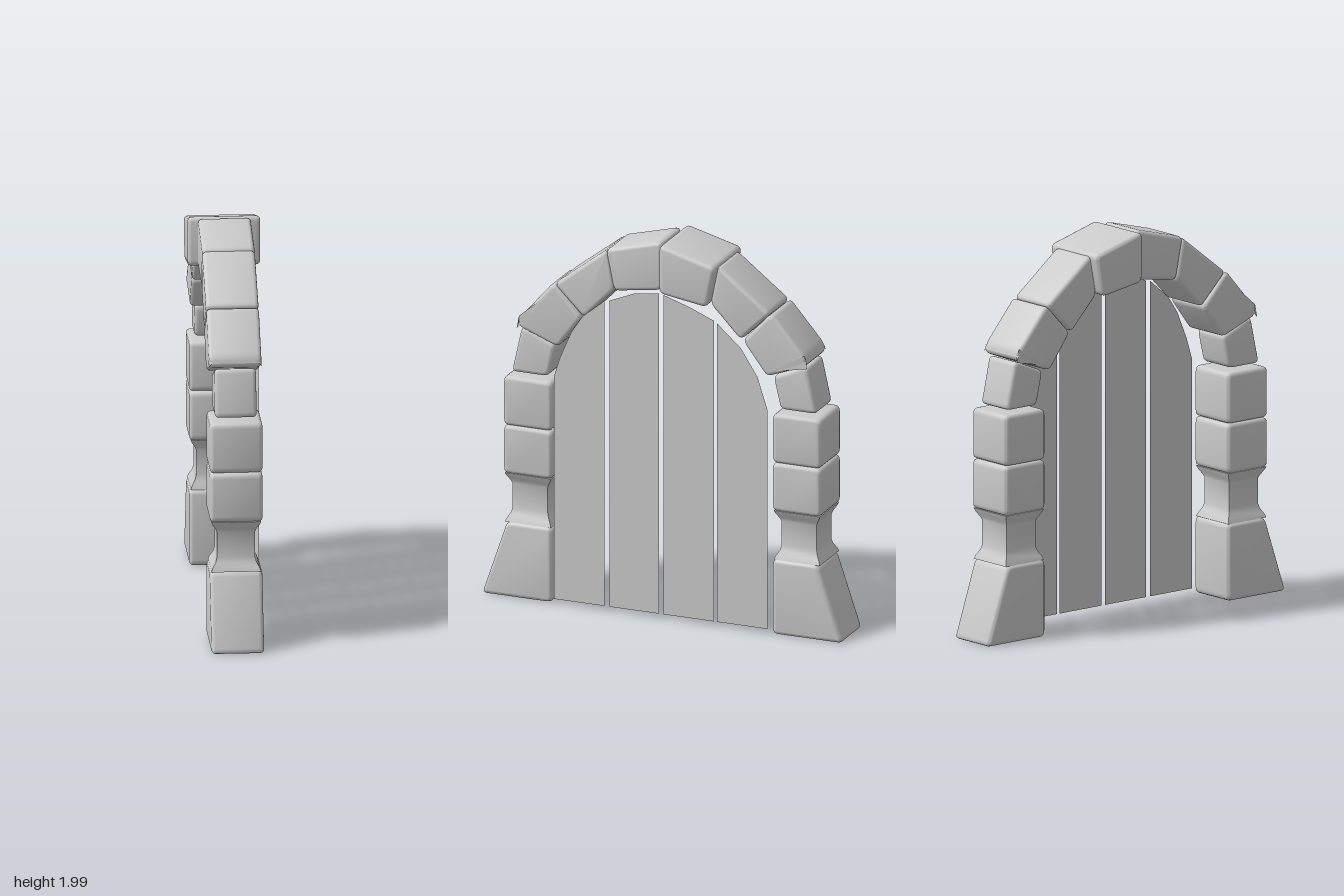
import * as THREE from 'three';
import { toCreasedNormals } from 'three/addons/utils/BufferGeometryUtils.js';

const stoneMat = new THREE.MeshStandardMaterial({ color: 0xcccccc });
const plankMat = new THREE.MeshStandardMaterial({ color: 0xcccccc, side: THREE.DoubleSide });

// Polygon with softened corners; points are [z, y]
function roundedShape(points, radius) {
  const pts = points.map(([z, y]) => new THREE.Vector2(z, y));
  const shape = new THREE.Shape();
  pts.forEach((p, i) => {
    const prev = pts[(i + pts.length - 1) % pts.length];
    const next = pts[(i + 1) % pts.length];
    const a = p.clone().add(prev.clone().sub(p).setLength(radius));
    const b = p.clone().add(next.clone().sub(p).setLength(radius));
    if (i === 0) shape.moveTo(a.x, a.y);
    else shape.lineTo(a.x, a.y);
    shape.quadraticCurveTo(p.x, p.y, b.x, b.y);
  });
  shape.closePath();
  return shape;
}

// Stone block: outline in the z-y plane, centred thickness along x
function stone(name, points, halfWidth) {
  const bevel = 0.02;
  const depth = 2 * (halfWidth - bevel);
  const geo = new THREE.ExtrudeGeometry(roundedShape(points, 0.03), {
    depth, curveSegments: 4, bevelEnabled: true, bevelSegments: 3,
    bevelSize: bevel, bevelThickness: bevel, bevelOffset: -bevel,
  });
  geo.translate(0, 0, -depth / 2);
  geo.rotateY(-Math.PI / 2);
  const mesh = new THREE.Mesh(toCreasedNormals(geo, 0.7), stoneMat);
  mesh.name = name;
  return mesh;
}

// Square waisted section of the pillar
function neck(z) {
  const profile = [
    [0, 0.4], [0.125, 0.4], [0.117, 0.42], [0.102, 0.445], [0.095, 0.47],
    [0.095, 0.6], [0.102, 0.617], [0.117, 0.642], [0.125, 0.66], [0, 0.66],
  ].map(([half, y]) => new THREE.Vector2(half * Math.SQRT2, y));
  const geo = new THREE.LatheGeometry(profile, 4).rotateY(Math.PI / 4).toNonIndexed();
  const mesh = new THREE.Mesh(toCreasedNormals(geo, 0.7), stoneMat);
  mesh.position.z = z;
  mesh.name = 'pillarNeck';
  return mesh;
}

export function createModel() {
  const model = new THREE.Group();
  model.name = 'archedDoorway';

  // Stone outlines for one side: name, corners, half width
  const blocks = [
    ['pillarBase', [[0.598, 0.005], [0.98, 0.005], [0.845, 0.402], [0.598, 0.402]], 0.132],
    ['lowerPillarBlock', [[0.598, 0.658], [0.862, 0.658], [0.862, 0.914], [0.598, 0.914]], 0.132],
    ['upperPillarBlock', [[0.598, 0.914], [0.862, 0.914], [0.862, 1.175], [0.598, 1.175]], 0.132],
    ['archSpringer', [[0.63, 1.192], [0.83, 1.192], [0.775, 1.44], [0.59, 1.365]], 0.105],
    ['lowerArchStone', [[0.567, 1.365], [0.785, 1.448], [0.775, 1.495], [0.592, 1.706], [0.435, 1.54]], 0.132],
    ['middleArchStone', [[0.425, 1.54], [0.588, 1.7], [0.3, 1.922], [0.26, 1.71]], 0.132],
  ];
  const crown = [[0.003, 1.745], [0.262, 1.705], [0.308, 1.922], [0.003, 2.003]];
  const mirrored = (points, side) => points.map(([z, y]) => [z * side, y]);

  for (const side of [1, -1]) {
    const half = new THREE.Group();
    half.name = side > 0 ? 'frontHalf' : 'backHalf';
    for (const [name, points, width] of blocks) half.add(stone(name, mirrored(points, side), width));
    half.add(neck(side * 0.73));
    // One crown stone is the wider keystone
    half.add(stone(side > 0 ? 'crownStone' : 'keystone', mirrored(crown, side), side > 0 ? 0.132 : 0.182));
    model.add(half);
  }

  // Thin door planks with tops following the arch
  const planks = [
    [[0.31, 0.03], [0.585, 0.03], [0.585, 1.21], [0.55, 1.32], [0.49, 1.46], [0.43, 1.55], [0.31, 1.65]],
    [[0.015, 0.03], [0.282, 0.03], [0.282, 1.655], [0.15, 1.71], [0.015, 1.73]],
    [[-0.285, 0.03], [-0.01, 0.03], [-0.01, 1.725], [-0.15, 1.68], [-0.285, 1.625]],
    [[-0.575, 0.03], [-0.3, 0.03], [-0.3, 1.615], [-0.43, 1.5], [-0.52, 1.36], [-0.575, 1.19]],
  ];
  for (const points of planks) {
    const shape = new THREE.Shape(points.map(([z, y]) => new THREE.Vector2(z, y)));
    const plank = new THREE.Mesh(new THREE.ShapeGeometry(shape).rotateY(-Math.PI / 2), plankMat);
    plank.position.x = 0.133;
    plank.name = 'doorPlank';
    model.add(plank);
  }
  return model;
}
